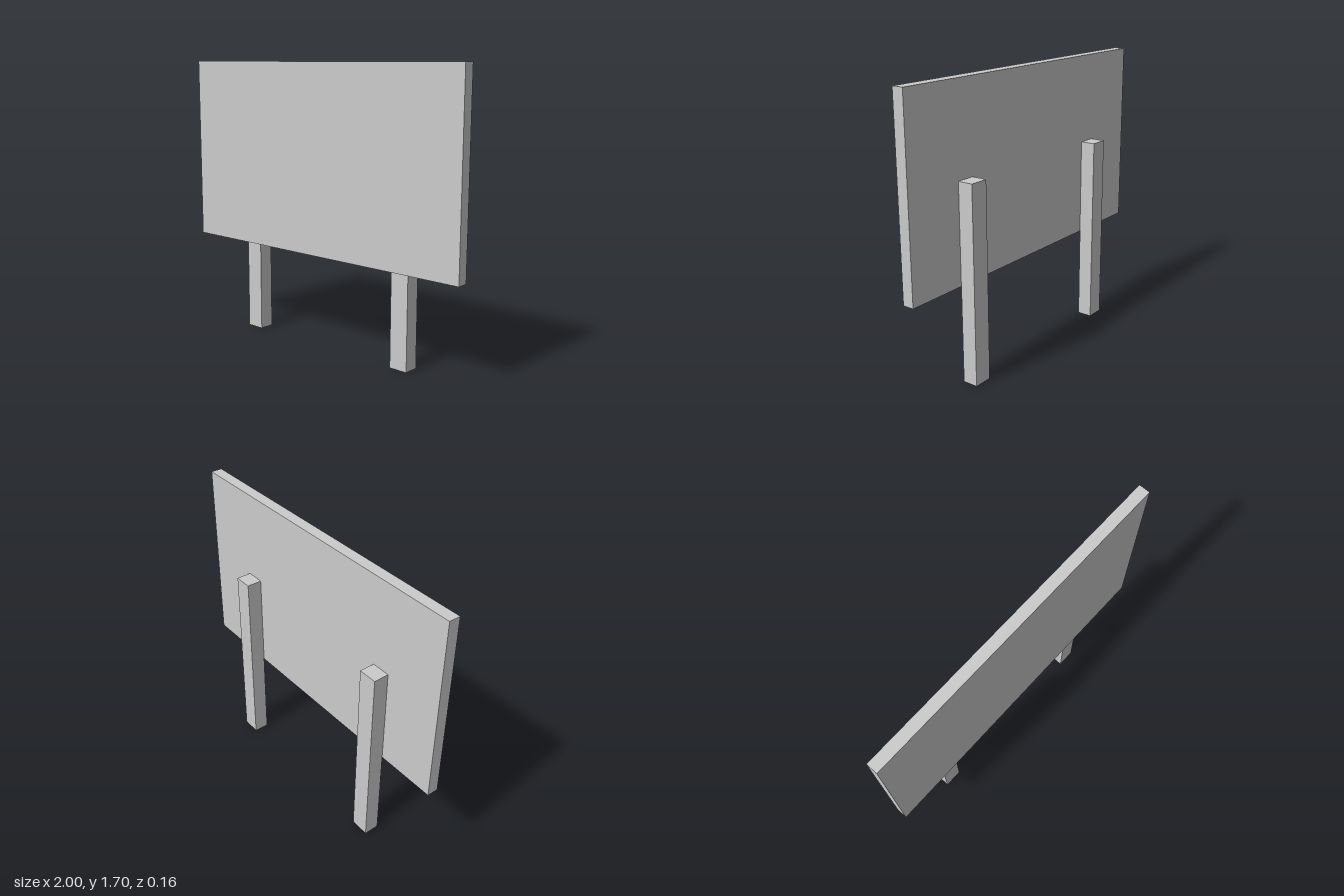
import * as THREE from 'three';

// Box given by its min and max corners
function boxBetween(min, max) {
  const size = max.map((v, i) => v - min[i]);
  const geometry = new THREE.BoxGeometry(...size);
  geometry.translate(...max.map((v, i) => (v + min[i]) / 2));
  return geometry;
}

// Remove the underside (fourth face of a BoxGeometry), leaving a hollow shell
function openBottom(geometry) {
  const index = Array.from(geometry.index.array);
  index.splice(18, 6);
  geometry.setIndex(index);
  geometry.clearGroups();
  return geometry;
}

export function createModel() {
  const group = new THREE.Group();
  group.name = 'signboard';
  const material = new THREE.MeshStandardMaterial({ color: 0xcccccc });
  const shellMaterial = new THREE.MeshStandardMaterial({ color: 0xcccccc, side: THREE.DoubleSide });

  const joinZ = 0.012; // plane where the posts meet the back of the panel

  // Wide display panel
  const panel = new THREE.Mesh(boxBetween([-1, 0.576, joinZ], [1, 1.7, 0.08]), material);
  panel.name = 'panel';
  group.add(panel);

  // Two hollow square posts behind the panel
  for (const [name, side] of [['leftPost', 1], ['rightPost', -1]]) {
    const geometry = openBottom(boxBetween([-0.057, 0, -0.08], [0.057, 1.165, joinZ]));
    const post = new THREE.Mesh(geometry, shellMaterial);
    post.name = name;
    post.position.x = side * 0.576;
    group.add(post);
  }

  return group;
}
